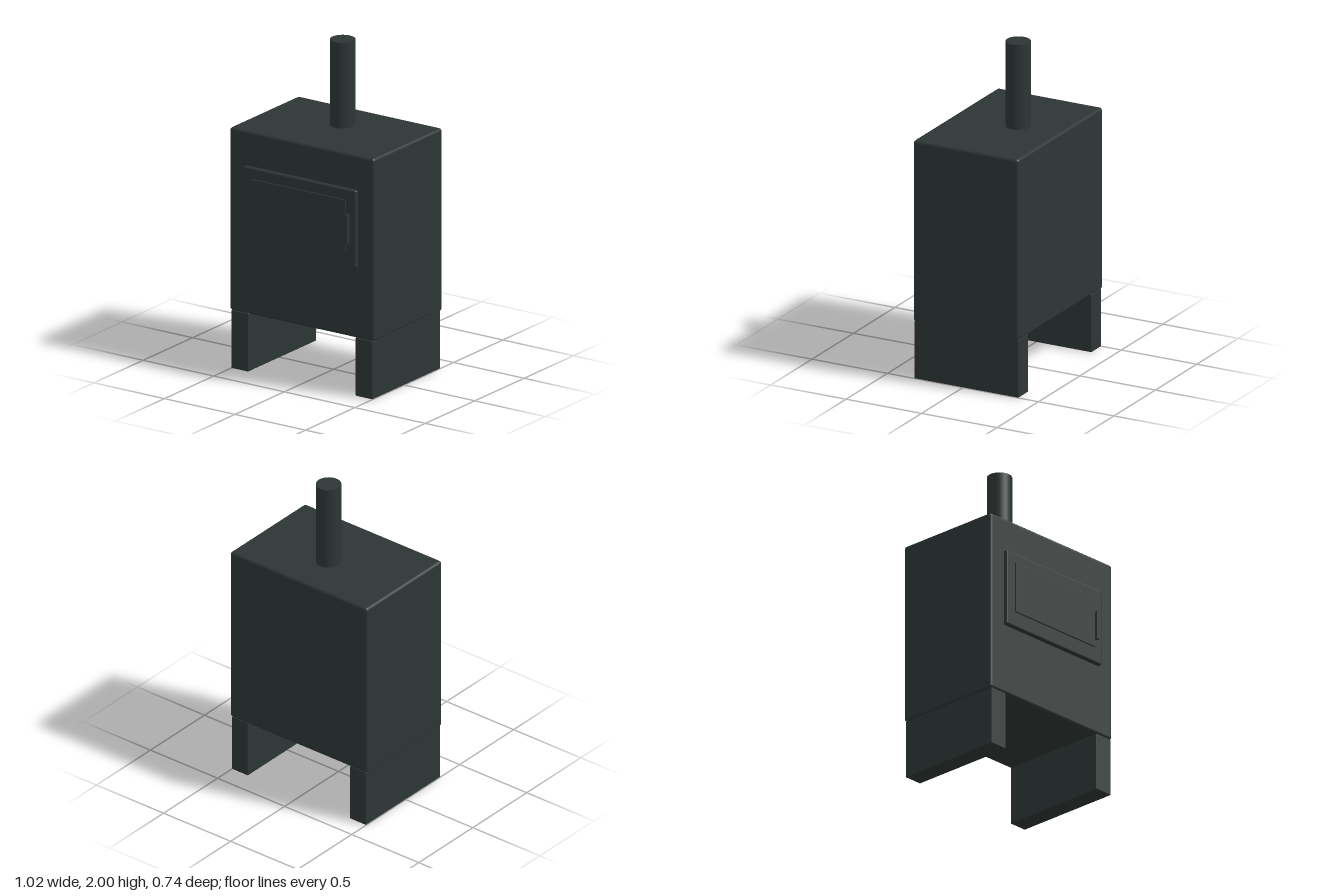
import * as THREE from 'three';
import { RoundedBoxGeometry } from 'three/addons/geometries/RoundedBoxGeometry.js';

export function createModel() {
  const stove = new THREE.Group();
  stove.name = 'woodStove';
  const iron = new THREE.MeshStandardMaterial({ color: 0x2d3635 });
  iron.name = 'dark cast iron';

  // Box spanning min..max corners, with optional rounded edges
  function block(name, min, max, radius = 0) {
    const size = max.map((v, i) => v - min[i]);
    const geometry = radius
      ? new RoundedBoxGeometry(...size, 4, radius)
      : new THREE.BoxGeometry(...size);
    const mesh = new THREE.Mesh(geometry, iron);
    mesh.name = name;
    mesh.position.set(...max.map((v, i) => (v + min[i]) / 2));
    stove.add(mesh);
    return mesh;
  }

  // Firebox
  block('firebox', [-0.512, 0.355, -0.373], [0.512, 1.475, 0.325], 0.018);

  // Slab legs running front to back
  for (const [name, x] of [['leftLeg', 0.44], ['rightLeg', -0.44]]) {
    block(name, [x - 0.06, 0, -0.368], [x + 0.06, 0.357, 0.323], 0.005);
  }

  // Door with raised panel and upright handle
  block('doorFrame', [-0.4, 0.79, 0.3], [0.4, 1.265, 0.35], 0.011);
  block('doorPanel', [-0.333, 0.885, 0.346], [0.333, 1.2, 0.358], 0.003);
  block('doorHandle', [0.339, 0.935, 0.345], [0.357, 1.115, 0.371], 0.003);

  // Flue pipe
  const flue = new THREE.Mesh(new THREE.CylinderGeometry(0.074, 0.074, 0.535, 48), iron);
  flue.name = 'fluePipe';
  flue.position.set(0, 1.7325, -0.092);
  stove.add(flue);

  return stove;
}
